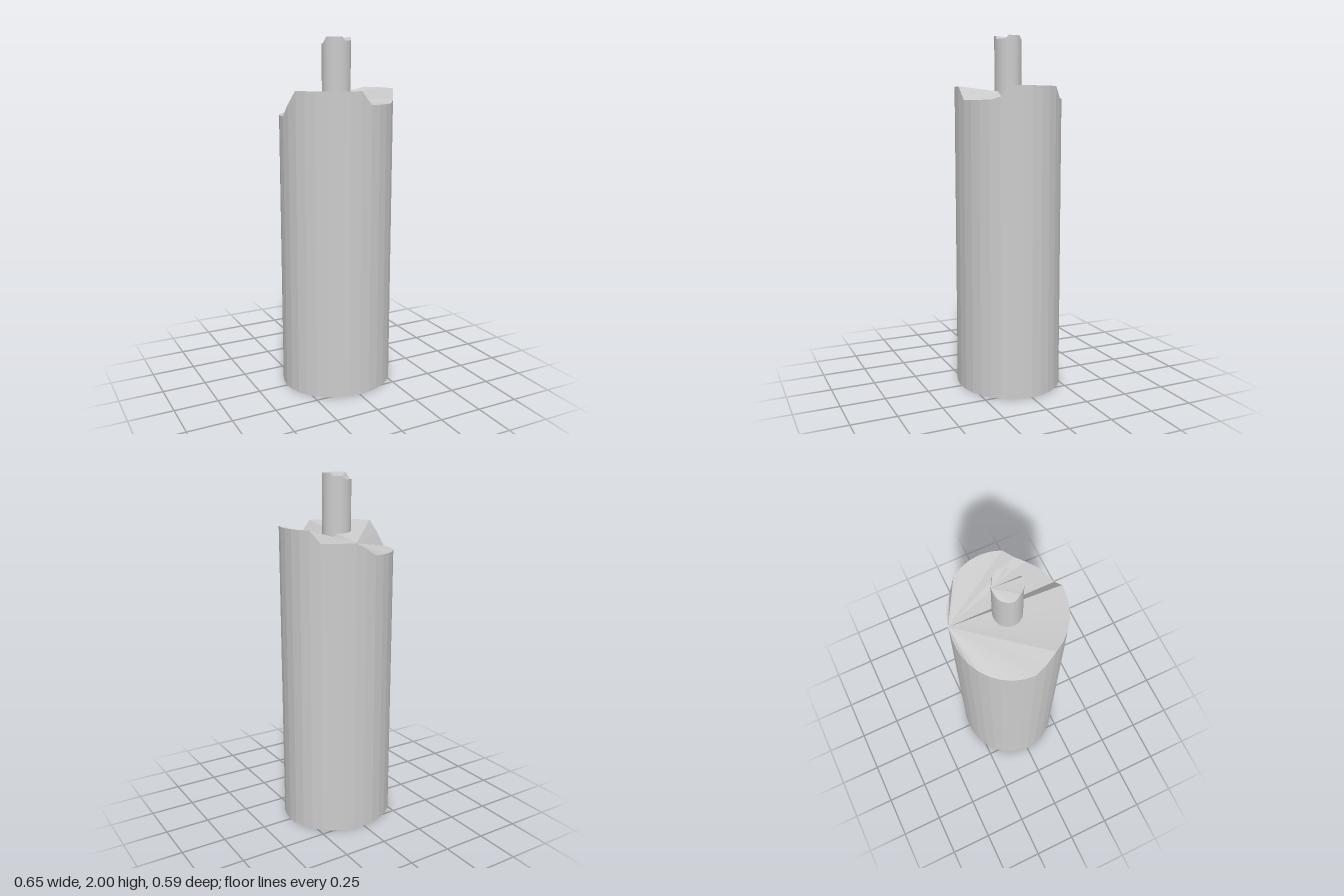
import * as THREE from 'three';

const SIDES = 32;

// Depth of the notches in the top rim, by step round from +x towards +z
function rimDrop(k) {
  if (k === 3) return 0.06;
  if (k >= 4 && k <= 7) return 0.075;       // front left notch
  if (k === 15) return 0.07;
  if (k >= 16 && k <= 23) return 0.14;      // deep back right notch
  if (k === 24) return 0.1;
  if (k >= 25 && k <= 28) return 0.065;     // back left notch
  return 0;
}

// Elliptical post with a notched top; the cap fans out from one rim corner
function notchedPost(name, rx, rz, bottom, top, dropScale, material) {
  const positions = [];
  const index = [];
  for (let k = 0; k < SIDES; k++) {
    const a = (k / SIDES) * Math.PI * 2;
    const x = rx * Math.cos(a);
    const z = rz * Math.sin(a);
    positions.push(x, bottom, z, x, top - rimDrop(k) * dropScale, z);
  }
  const apex = 25;
  for (let k = 0; k < SIDES; k++) {
    const n = (k + 1) % SIDES;
    // wall
    index.push(2 * k, 2 * k + 1, 2 * n + 1, 2 * k, 2 * n + 1, 2 * n);
    // top cap
    if (k !== apex && n !== apex) index.push(2 * apex + 1, 2 * n + 1, 2 * k + 1);
    // base
    if (k !== 0 && n !== 0) index.push(0, 2 * k, 2 * n);
  }
  const indexed = new THREE.BufferGeometry();
  indexed.setAttribute('position', new THREE.Float32BufferAttribute(positions, 3));
  indexed.setIndex(index);
  const geometry = indexed.toNonIndexed();
  geometry.computeVertexNormals();
  const mesh = new THREE.Mesh(geometry, material);
  mesh.name = name;
  return mesh;
}

export function createModel() {
  const group = new THREE.Group();
  group.name = 'notchedCylinder';
  const material = new THREE.MeshStandardMaterial({ color: 0xcccccc, flatShading: true });
  group.add(notchedPost('body', 0.325, 0.297, 0, 1.72, 1, material));
  group.add(notchedPost('shaft', 0.082, 0.075, 1.6, 2, 0.25, material));
  return group;
}
